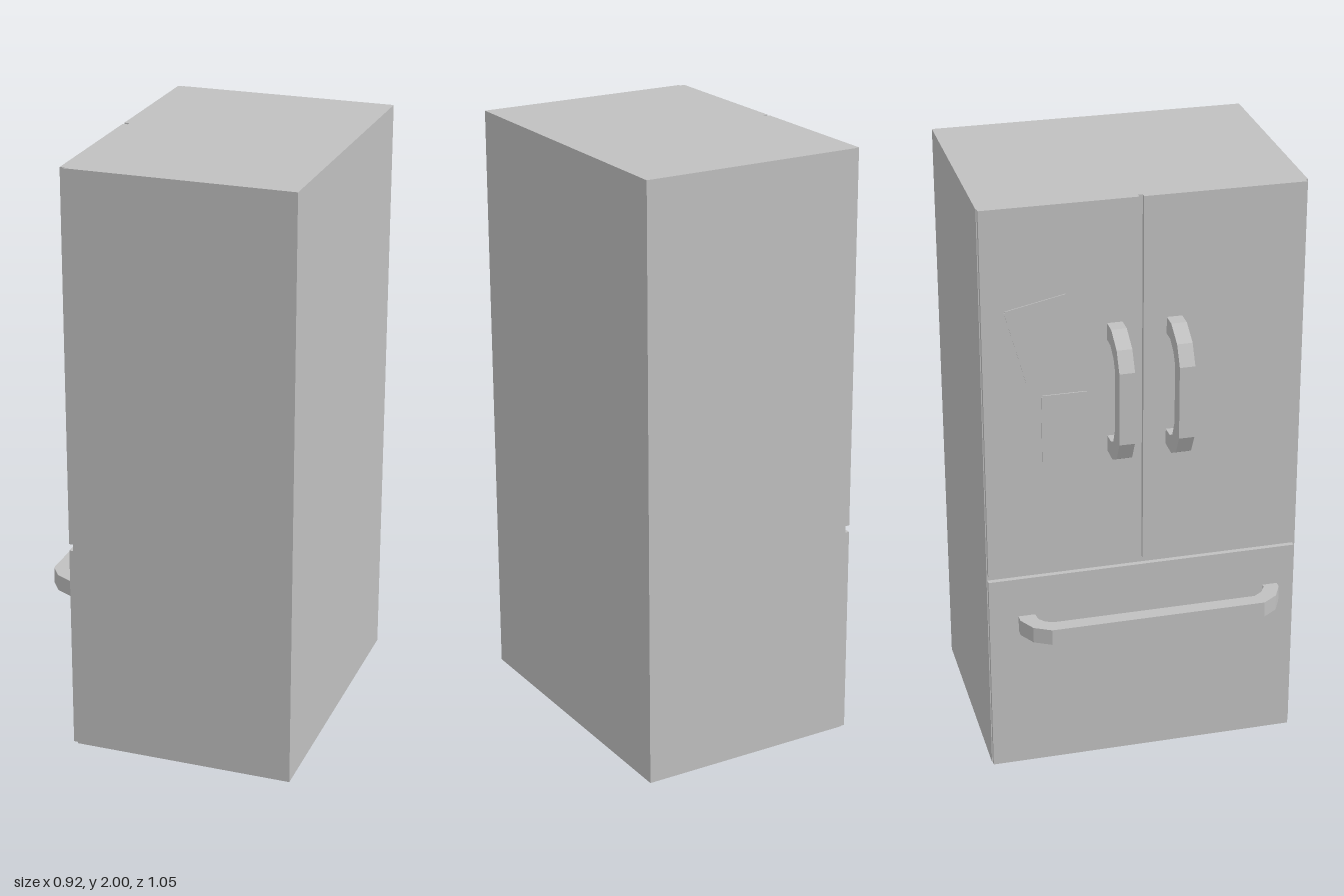
import * as THREE from 'three';

export function createModel() {
  const root = new THREE.Group();
  root.name = 'refrigerator';
  const steel = new THREE.MeshStandardMaterial({ color: 0xc0c0c0 });
  steel.name = 'grey steel';

  const add = (name, geometry) => {
    const mesh = new THREE.Mesh(geometry, steel);
    mesh.name = name;
    root.add(mesh);
    return mesh;
  };
  // Box given by its limits on each axis
  const box = (name, x0, x1, y0, y1, z0, z1) =>
    add(name, new THREE.BoxGeometry(x1 - x0, y1 - y0, z1 - z0)
      .translate((x0 + x1) / 2, (y0 + y1) / 2, (z0 + z1) / 2));
  const extrude = (points, depth) => new THREE.ExtrudeGeometry(
    new THREE.Shape(points.map(([a, b]) => new THREE.Vector2(a, b))),
    { depth, bevelEnabled: false });

  // Cabinet, with the doors on its -x side
  box('cabinet', -0.285, 0.46, 0, 2, -0.525, 0.525);
  box('upperDoorA', -0.302, -0.285, 0.733, 2, -0.522, -0.02);
  box('upperDoorB', -0.302, -0.285, 0.733, 2, -0.005, 0.517);
  box('freezerDrawer', -0.302, -0.285, 0, 0.71, -0.522, 0.517);

  // Upright handles: outline in x and y
  const upright = [
    [-0.3, 1.59], [-0.355, 1.59], [-0.425, 1.55], [-0.46, 1.485],
    [-0.46, 1.24], [-0.425, 1.175], [-0.37, 1.145], [-0.3, 1.145],
    [-0.3, 1.198], [-0.35, 1.2], [-0.38, 1.215], [-0.405, 1.27],
    [-0.405, 1.47], [-0.385, 1.505], [-0.345, 1.533], [-0.3, 1.533],
  ];
  for (const z of [-0.123, 0.07])
    add('doorHandle', extrude(upright, 0.05).translate(0, 0, z));

  // Drawer handle: outline in x and z
  const bar = [
    [-0.3, -0.425], [-0.33, -0.425], [-0.385, -0.393], [-0.415, -0.337],
    [-0.415, 0.385], [-0.38, 0.435], [-0.325, 0.462], [-0.3, 0.462],
    [-0.3, 0.412], [-0.315, 0.412], [-0.345, 0.395], [-0.366, 0.365],
    [-0.366, -0.322], [-0.355, -0.347], [-0.335, -0.365], [-0.3, -0.37],
  ];
  add('drawerHandle', extrude(bar.map(([x, z]) => [x, -z]), 0.055)
    .rotateX(-Math.PI / 2).translate(0, 0.515, 0));

  // Thin raised trim strips on one door, given as [z, y] lines
  const trim = [
    [[-0.254, 1.7], [-0.446, 1.66], [-0.378, 1.405]],
    [[-0.19, 1.36], [-0.333, 1.36], [-0.333, 1.13]],
  ];
  for (const line of trim)
    for (let i = 0; i < line.length - 1; i++) {
      const [[z0, y0], [z1, y1]] = [line[i], line[i + 1]];
      const strip = add('trimStrip',
        new THREE.BoxGeometry(0.005, 0.008, Math.hypot(z1 - z0, y1 - y0)));
      strip.position.set(-0.3035, (y0 + y1) / 2, (z0 + z1) / 2);
      strip.rotation.x = -Math.atan2(y1 - y0, z1 - z0);
    }

  return root;
}
